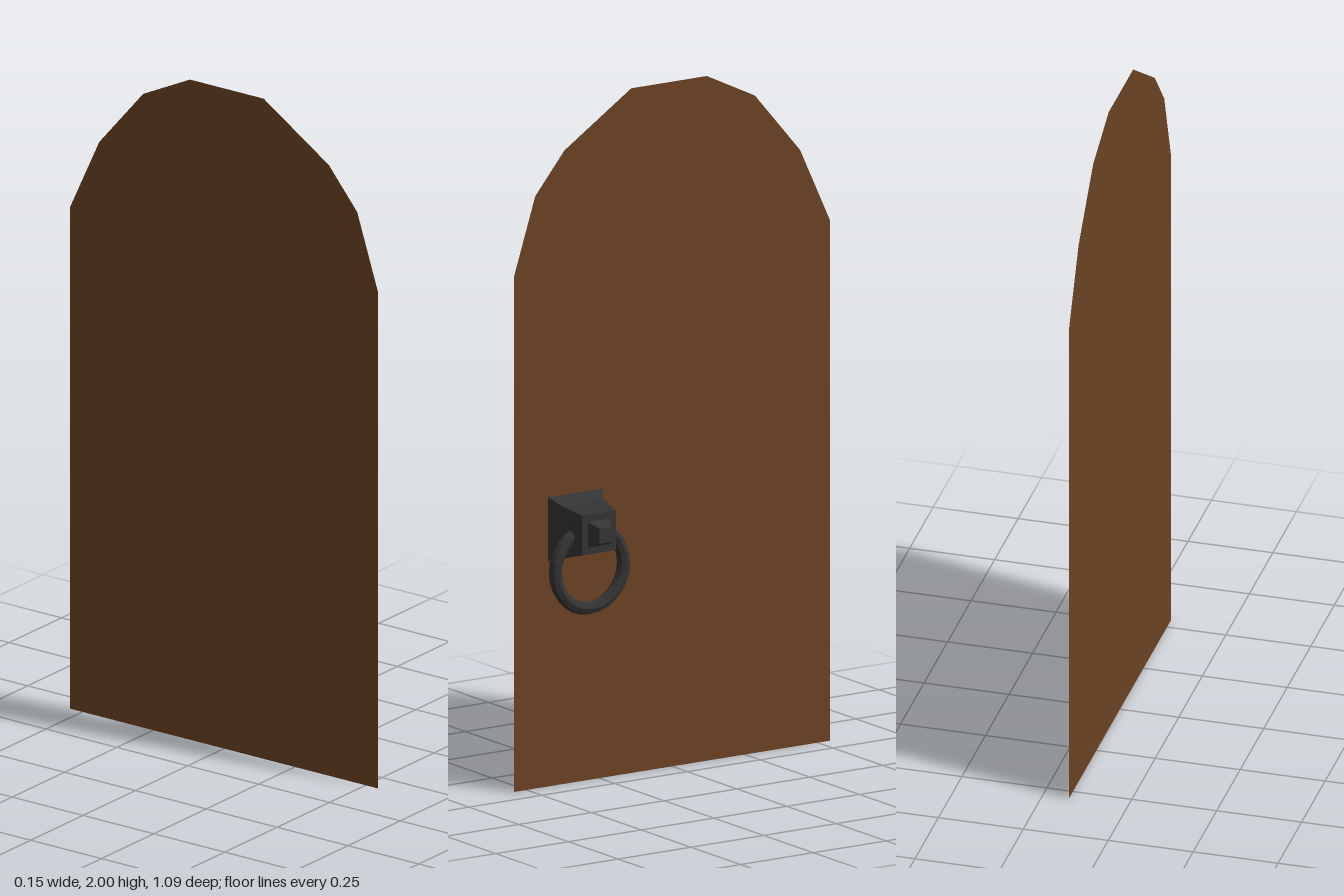
import * as THREE from 'three';

export function createModel() {
  const model = new THREE.Group();
  const wood = new THREE.MeshStandardMaterial({ color: 0x6b4223, side: THREE.DoubleSide });
  wood.name = 'brown wood';
  const iron = new THREE.MeshStandardMaterial({ color: 0x333333, flatShading: true });
  iron.name = 'dark iron';
  const ringIron = iron; // the ring shares the mount's iron

  const add = (name, geometry, material, x, y, z) => {
    const mesh = new THREE.Mesh(geometry, material);
    mesh.name = name;
    mesh.position.set(x, y, z);
    model.add(mesh);
  };

  // Thin arched door leaf facing +x; outline points are [-z, y]
  const outline = [
    [-0.543, 0], [0.543, 0], [0.543, 1.52], [0.44, 1.74], [0.285, 1.92],
    [0.12, 2], [-0.14, 2], [-0.37, 1.85], [-0.47, 1.73], [-0.543, 1.505],
  ].map(([u, y]) => new THREE.Vector2(u, y));
  const leaf = new THREE.ShapeGeometry(new THREE.Shape(outline));
  leaf.rotateY(Math.PI / 2);
  add('doorLeaf', leaf, wood, -0.077, 0, 0);

  // Square stepped mount: [half width, x] sections swept as a four-sided lathe
  const squareStack = (sections) => {
    const points = sections.map(([half, x]) => new THREE.Vector2(half * Math.SQRT2, x));
    const geometry = new THREE.LatheGeometry(points, 4, Math.PI / 4);
    geometry.rotateZ(-Math.PI / 2);
    return geometry;
  };
  const handleZ = 0.333;
  add('handleMount', squareStack([
    [0, -0.076], [0.093, -0.076], [0.072, -0.038], [0.058, 0.043], [0, 0.043],
  ]), iron, 0, 0.752, handleZ);
  add('handleStud', squareStack([
    [0.038, 0.042], [0.022, 0.077], [0, 0.077],
  ]), iron, 0, 0.752, handleZ);

  // Hanging pull ring
  const ring = new THREE.TorusGeometry(0.117, 0.019, 8, 28);
  ring.rotateY(Math.PI / 2);
  add('pullRing', ring, ringIron, -0.005, 0.641, handleZ);

  return model;
}
